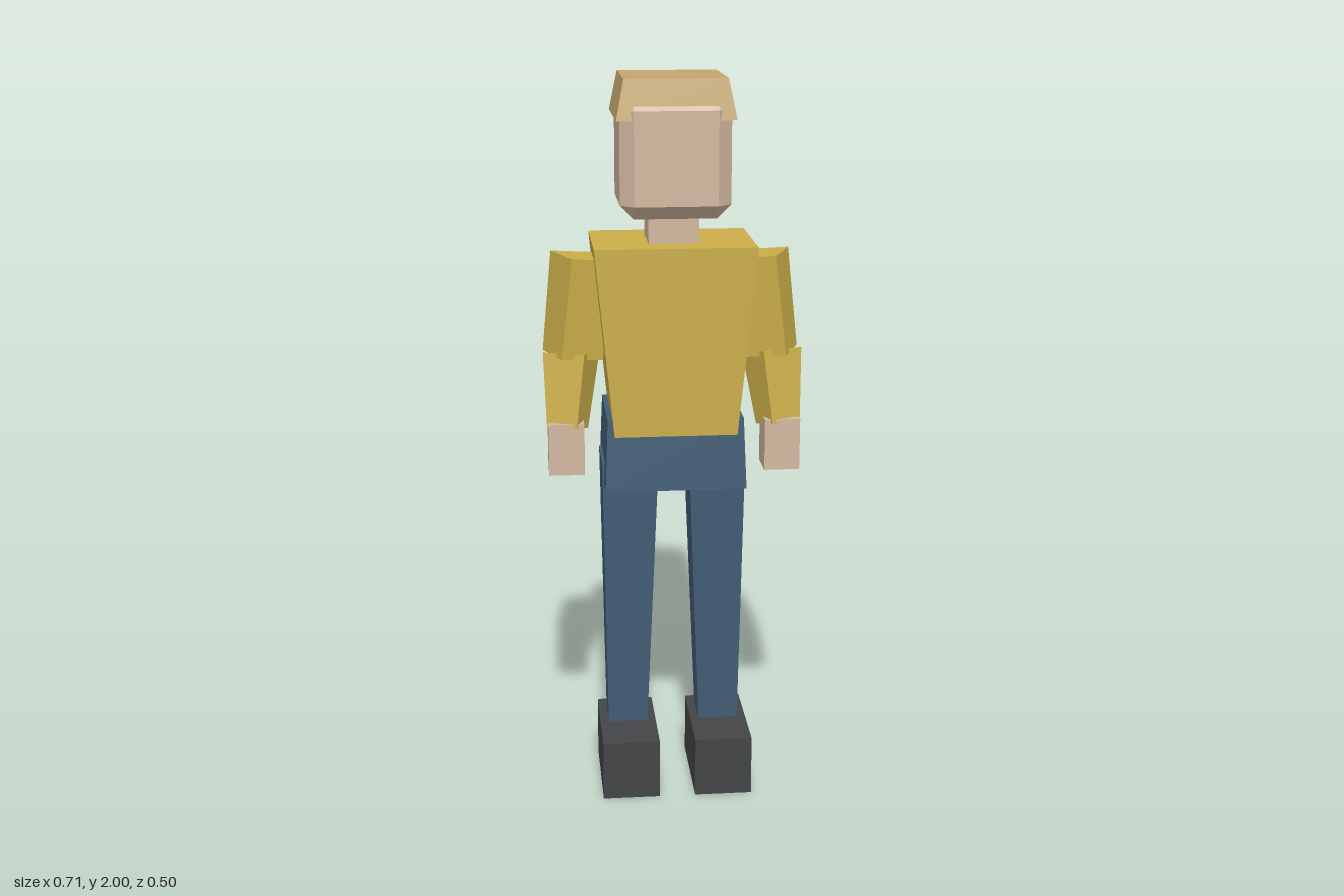
import * as THREE from 'three';
import { ConvexGeometry } from 'three/addons/geometries/ConvexGeometry.js';

const material = (color) => new THREE.MeshStandardMaterial({ color, flatShading: true });
const skin = material(0xd2b8a0);
const hair = material(0xc4a56c);
const shirt = material(0xcbae49);
const denim = material(0x415c75);
const leather = material(0x444547);

// Tapered block from a top centre to a bottom centre; sizes are [width, depth].
// yaw is the z rise of its width direction per unit of x.
function block(name, mat, top, topSize, bottom, bottomSize, yaw = 0) {
  const a = new THREE.Vector3(...top);
  const b = new THREE.Vector3(...bottom);
  const geometry = new THREE.BoxGeometry(1, a.distanceTo(b), 1);
  const pos = geometry.attributes.position;
  for (let i = 0; i < pos.count; i++) {
    const [w, d] = pos.getY(i) > 0 ? topSize : bottomSize;
    pos.setX(i, pos.getX(i) * w);
    pos.setZ(i, pos.getZ(i) * d);
  }
  const up = a.clone().sub(b).normalize();
  const right = new THREE.Vector3(1, 0, yaw);
  right.addScaledVector(up, -right.dot(up)).normalize();
  const front = right.clone().cross(up);
  geometry.applyMatrix4(new THREE.Matrix4().makeBasis(right, up, front));
  geometry.computeVertexNormals();
  const mesh = new THREE.Mesh(geometry, mat);
  mesh.name = name;
  mesh.position.copy(a).add(b).multiplyScalar(0.5);
  return mesh;
}

// Box with all edges bevelled
function bevelledBox(name, mat, w, h, d, c) {
  const points = [];
  for (const x of [-w / 2, w / 2])
    for (const y of [-h / 2, h / 2])
      for (const z of [-d / 2, d / 2]) {
        const ix = x - Math.sign(x) * c;
        const iy = y - Math.sign(y) * c;
        const iz = z - Math.sign(z) * c;
        points.push(
          new THREE.Vector3(x, iy, iz),
          new THREE.Vector3(ix, y, iz),
          new THREE.Vector3(ix, iy, z)
        );
      }
  const mesh = new THREE.Mesh(new ConvexGeometry(points), mat);
  mesh.name = name;
  return mesh;
}

export function createModel() {
  const model = new THREE.Group();
  model.name = 'blockFigure';

  // Head, neck and hair
  const head = bevelledBox('head', skin, 0.294, 0.32, 0.294, 0.037);
  head.position.set(0, 1.797, 0.064);
  model.add(
    head,
    block('neck', skin, [0, 1.66, 0.053], [0.134, 0.147], [0, 1.54, 0.053], [0.134, 0.147]),
    block('hairCap', hair, [0, 2, 0.051], [0.272, 0.272], [0, 1.895, 0.051], [0.314, 0.312]),
    block('ponytail', hair, [0, 1.922, -0.112], [0.132, 0.128], [0, 1.61, -0.212], [0.08, 0.078])
  );

  // Torso and hips
  model.add(
    block('torso', shirt, [0, 1.563, 0.051], [0.434, 0.312], [0, 1.05, 0.053], [0.334, 0.294]),
    block('hips', denim, [0, 1.095, 0.052], [0.37, 0.274], [0, 0.897, 0.052], [0.386, 0.3])
  );

  // Arms and legs, mirrored
  for (const [side, s] of [['left', 1], ['right', -1]]) {
    model.add(
      block(side + 'UpperArm', shirt, [s * 0.243, 1.522, 0.055], [0.122, 0.144],
        [s * 0.272, 1.25, 0.066], [0.122, 0.13], s * 0.4),
      block(side + 'Forearm', shirt, [s * 0.276, 1.253, 0.066], [0.119, 0.123],
        [s * 0.29, 1.058, 0.112], [0.087, 0.092], s * -0.4),
      block(side + 'Hand', skin, [s * 0.295, 1.08, 0.114], [0.098, 0.1],
        [s * 0.295, 0.937, 0.114], [0.098, 0.1]),
      block(side + 'Leg', denim, [s * 0.12, 0.96, 0.052], [0.156, 0.158],
        [s * 0.13, 0.16, 0.049], [0.112, 0.117]),
      block(side + 'Shoe', leather, [s * 0.13, 0.17, 0.103], [0.16, 0.296],
        [s * 0.13, 0, 0.103], [0.16, 0.296])
    );
  }
  return model;
}
